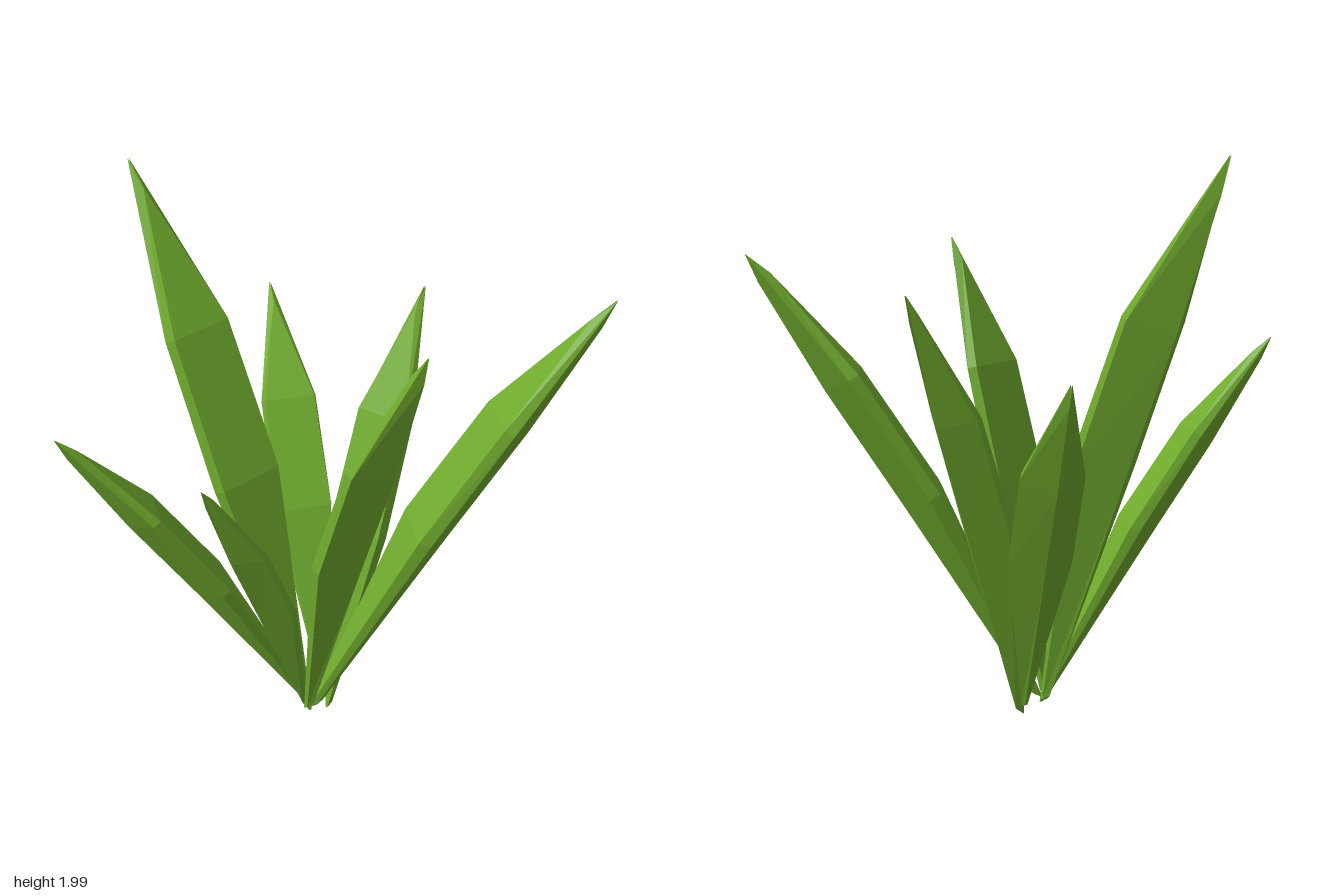
import * as THREE from 'three';

// Cross-sections as fractions of leaf length or width.
// along, (inner, side, ridge) heights, (inner, side) half widths, along-shifts for inner and ridge
const SECTIONS = [
  { s: 0.0, h: [0.015, 0.006, -0.002], w: [0.02, 0.05], shift: [-0.015, 0.012] },
  { s: 0.45, h: [0.068, 0.045, -0.008], w: [0.46, 0.5], shift: [0, 0] },
  { s: 0.715, h: [0.06, 0.04, -0.014], w: [0.43, 0.48], shift: [0, 0] },
  { s: 1.0, h: [0.02, 0.0, -0.008], w: [0.01, 0.01], shift: [-0.052, -0.055] },
];

function leafGeometry(base, tip, width, roll) {
  const b = new THREE.Vector3(...base);
  const d = new THREE.Vector3(...tip).sub(b);
  const len = d.length();
  d.normalize();
  const side = new THREE.Vector3().crossVectors(d, new THREE.Vector3(0, 1, 0)).normalize();
  side.applyAxisAngle(d, roll);
  const n = new THREE.Vector3().crossVectors(side, d);

  const pos = [];
  for (const { s, h, w, shift } of SECTIONS) {
    // five corners: inner, side, back ridge, side, inner
    const ring = [
      [w[0], h[0], shift[0]], [w[1], h[1], 0], [0, h[2], shift[1]],
      [-w[1], h[1], 0], [-w[0], h[0], shift[0]],
    ];
    for (const [a, e, f] of ring) {
      const p = b.clone().addScaledVector(d, (s + f) * len)
        .addScaledVector(side, a * width).addScaledVector(n, e * len);
      pos.push(p.x, p.y, p.z);
    }
  }

  const index = [];
  const last = (SECTIONS.length - 1) * 5;
  for (let r = 0; r < last; r += 5) {
    for (let i = 0; i < 5; i++) {
      const j = (i + 1) % 5;
      index.push(r + i, r + j, r + 5 + j, r + i, r + 5 + j, r + 5 + i);
    }
  }
  // end caps
  for (let i = 1; i < 4; i++) {
    index.push(0, i + 1, i, last, last + i, last + i + 1);
  }

  const g = new THREE.BufferGeometry();
  g.setAttribute('position', new THREE.Float32BufferAttribute(pos, 3));
  g.setIndex(index);
  const flat = g.toNonIndexed();
  flat.computeVertexNormals();
  return flat;
}

export function createModel() {
  const plant = new THREE.Group();
  plant.name = 'leafTuft';
  const green = new THREE.MeshStandardMaterial({ color: 0x70ab2e, flatShading: true });
  green.name = 'leafGreen';

  // name, base, tip, width, roll
  const leaves = [
    ['leafTall', [0.06, 0.06, 0.04], [-0.7, 2.0, 0.08], 0.255, -0.2],
    ['leafBackLeft', [0.12, 0.07, 0.02], [0.7, 1.67, -0.74], 0.228, 0],
    ['leafBack', [0.11, 0.03, -0.06], [0.06, 1.57, -0.56], 0.225, 0],
    ['leafBackRight', [0.07, 0.06, -0.06], [-0.63, 1.37, -0.5], 0.215, 0],
    ['leafFrontRight', [0.06, 0.09, 0.05], [-0.35, 1.36, 0.74], 0.185, 0],
    ['leafFront', [0.08, 0.07, 0.06], [0.09, 1.27, 0.53], 0.18, 0],
    ['leafLeft', [0.12, 0.08, 0.06], [0.535, 1.7, 0.01], 0.245, 0],
  ];
  for (const [name, base, tip, width, roll] of leaves) {
    const leaf = new THREE.Mesh(leafGeometry(base, tip, width, roll), green);
    leaf.name = name;
    plant.add(leaf);
  }
  return plant;
}
